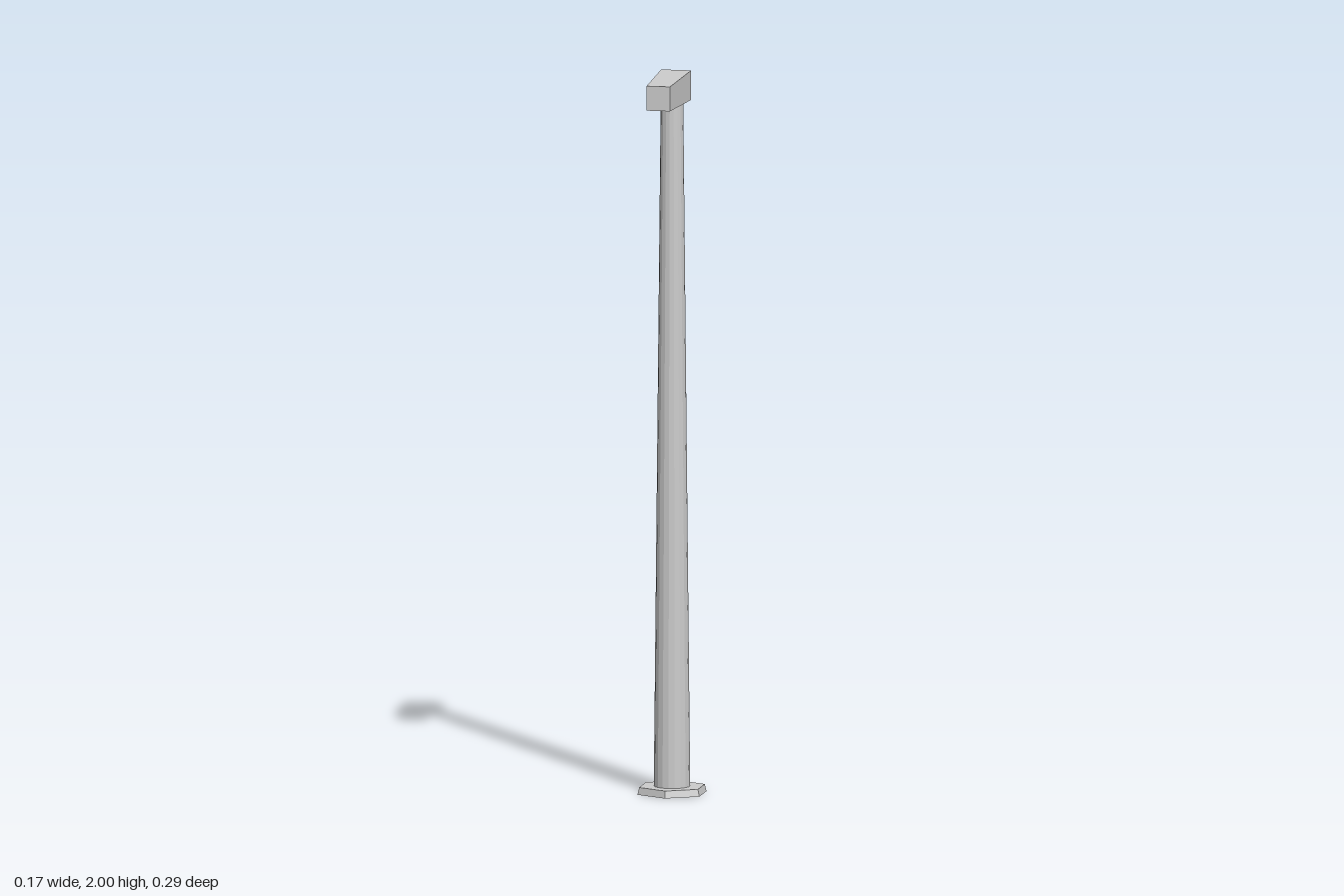
import * as THREE from 'three';

const material = new THREE.MeshStandardMaterial({ color: 0xcccccc, flatShading: true });
const POLE_Z = -0.046;

function addPart(group, name, geometry, x, y, z) {
  const mesh = new THREE.Mesh(geometry, material);
  mesh.name = name;
  mesh.position.set(x, y, z);
  group.add(mesh);
}

// Box that narrows towards its front (+z) face
function taperedBox(width, height, depth, scaleX, scaleY) {
  const geometry = new THREE.BoxGeometry(width, height, depth);
  const p = geometry.attributes.position;
  for (let i = 0; i < p.count; i++) {
    if (p.getZ(i) > 0) p.setXY(i, p.getX(i) * scaleX, p.getY(i) * scaleY);
  }
  geometry.computeVertexNormals();
  return geometry;
}

export function createModel() {
  const group = new THREE.Group();
  group.name = 'streetLamp';

  // Hexagonal foot plate with slightly sloping sides
  addPart(group, 'basePlate', new THREE.CylinderGeometry(0.095, 0.1, 0.02, 6), 0, 0.01, POLE_Z);

  // Tapering pole
  addPart(group, 'pole', new THREE.CylinderGeometry(0.031, 0.05, 1.91, 18), 0, 0.97, POLE_Z);

  // Lamp head reaching forward from the pole top
  addPart(group, 'lampHead', taperedBox(0.084, 0.082, 0.25, 0.78, 0.83), 0, 1.959, 0.021);

  return group;
}
